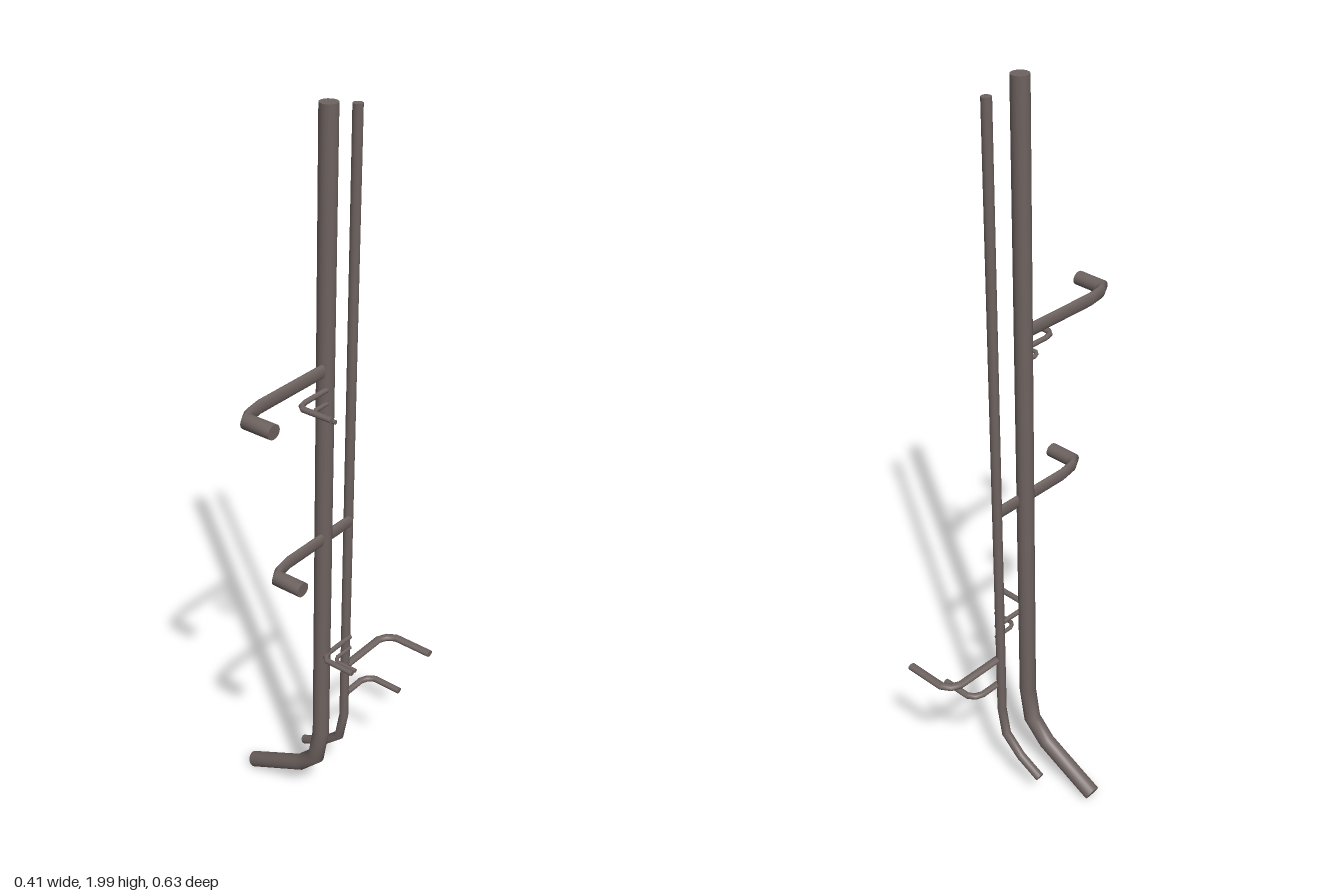
import * as THREE from 'three';

const SIDES = 16;

// Capped pipe swept along a planar path with mitred joints.
// The path is unsquashed by `scale`, swept as a round tube, then squashed back.
function pipeGeometry(points, radius, binormal, scale = [1, 1, 1]) {
  const s = new THREE.Vector3(...scale);
  const path = points.map((p) => new THREE.Vector3(...p).divide(s));
  const pos = [], idx = [];
  const last = path.length - 1;
  const dir = (i) => path[i + 1].clone().sub(path[i]).normalize();
  const ring = (i) => {
    const before = dir(Math.max(i - 1, 0));
    const after = dir(Math.min(i, last - 1));
    const t = before.clone().add(after).normalize();
    const n = binormal.clone().cross(t).divideScalar(Math.max(t.dot(after), 0.5));
    for (let j = 0; j < SIDES; j++) {
      const a = (j / SIDES) * Math.PI * 2;
      const v = path[i].clone()
        .addScaledVector(n, Math.cos(a) * radius)
        .addScaledVector(binormal, Math.sin(a) * radius);
      pos.push(v.x, v.y, v.z);
    }
  };
  // Wall
  for (let i = 0; i <= last; i++) ring(i);
  for (let i = 0; i < last; i++) {
    for (let j = 0; j < SIDES; j++) {
      const k = (j + 1) % SIDES;
      const a = i * SIDES + j, b = i * SIDES + k;
      idx.push(a, b, b + SIDES, a, b + SIDES, a + SIDES);
    }
  }
  // Flat end caps with their own vertices
  for (const end of [0, last]) {
    const base = pos.length / 3;
    ring(end);
    for (let j = 1; j < SIDES - 1; j++) {
      if (end) idx.push(base, base + j, base + j + 1);
      else idx.push(base, base + j + 1, base + j);
    }
  }
  const geo = new THREE.BufferGeometry();
  geo.setAttribute('position', new THREE.Float32BufferAttribute(pos, 3));
  geo.setIndex(idx);
  geo.scale(...scale);
  geo.computeVertexNormals();
  return geo;
}

export function createModel() {
  const group = new THREE.Group();
  const metal = new THREE.MeshStandardMaterial({ color: 0x6e6360 });
  metal.name = 'pipe grey brown';

  const add = (name, geo) => {
    const mesh = new THREE.Mesh(geo, metal);
    mesh.name = name;
    group.add(mesh);
  };

  // Upright pipes with a kicked-out foot
  const Z = new THREE.Vector3(0, 0, 1);
  const upright = (name, z, r, pts) =>
    add(name, pipeGeometry(pts.map(([x, y]) => [x, y, z]), r, Z));
  upright('mainPipe', -0.022, 0.0225,
    [[0.055, 2], [0.048, 0.267], [0.032, 0.172], [-0.024, 0.116], [-0.194, 0.032]]);
  upright('thinPipe', -0.122, 0.0125,
    [[0.057, 1.975], [0.05, 0.262], [0.035, 0.18], [-0.02, 0.13], [-0.09, 0.096]]);

  // Side branches: run along z, then turn toward +x
  const Y = new THREE.Vector3(0, 1, 0);
  const branch = (name, y, rx, ry, rz, pts) =>
    add(name, pipeGeometry(pts.map(([x, z]) => [x, y, z]), rz, Y, [rx / rz, ry / rz, 1]));

  // Large flattened branches
  const large = (name, y, start, z) => branch(name, y, 0.008, 0.018, 0.02,
    [[0.0585, start], [0.0585, z - 0.069], [0.066, z - 0.026], [0.082, z], [0.159, z]]);
  large('upperLargeBranch', 1.374, -0.022, 0.292);
  large('middleLargeBranch', 0.905, -0.122, 0.193);

  // Rear branches
  branch('rearLongBranch', 0.439, 0.011, 0.0085, 0.0115,
    [[0.056, -0.122], [0.056, -0.266], [0.067, -0.29], [0.09, -0.304], [0.203, -0.304]]);
  branch('rearShortBranch', 0.348, 0.009, 0.008, 0.009,
    [[0.06, -0.122], [0.06, -0.183], [0.068, -0.203], [0.086, -0.215], [0.168, -0.215]]);

  // Pairs of twigs, one pair on each upright
  for (const [side, y, start] of [['upper', 1.325, -0.022], ['lower', 0.54, -0.122]]) {
    const z = start + 0.122;
    branch(side + 'LongTwig', y, 0.006, 0.007, 0.008,
      [[0.066, start], [0.066, z - 0.03], [0.071, z - 0.011], [0.085, z], [0.167, z]]);
    branch(side + 'ShortTwig', y - 0.036, 0.005, 0.0055, 0.0055,
      [[0.067, start], [0.067, z - 0.068], [0.072, z - 0.057], [0.081, z - 0.05], [0.14, z - 0.05]]);
  }
  return group;
}
